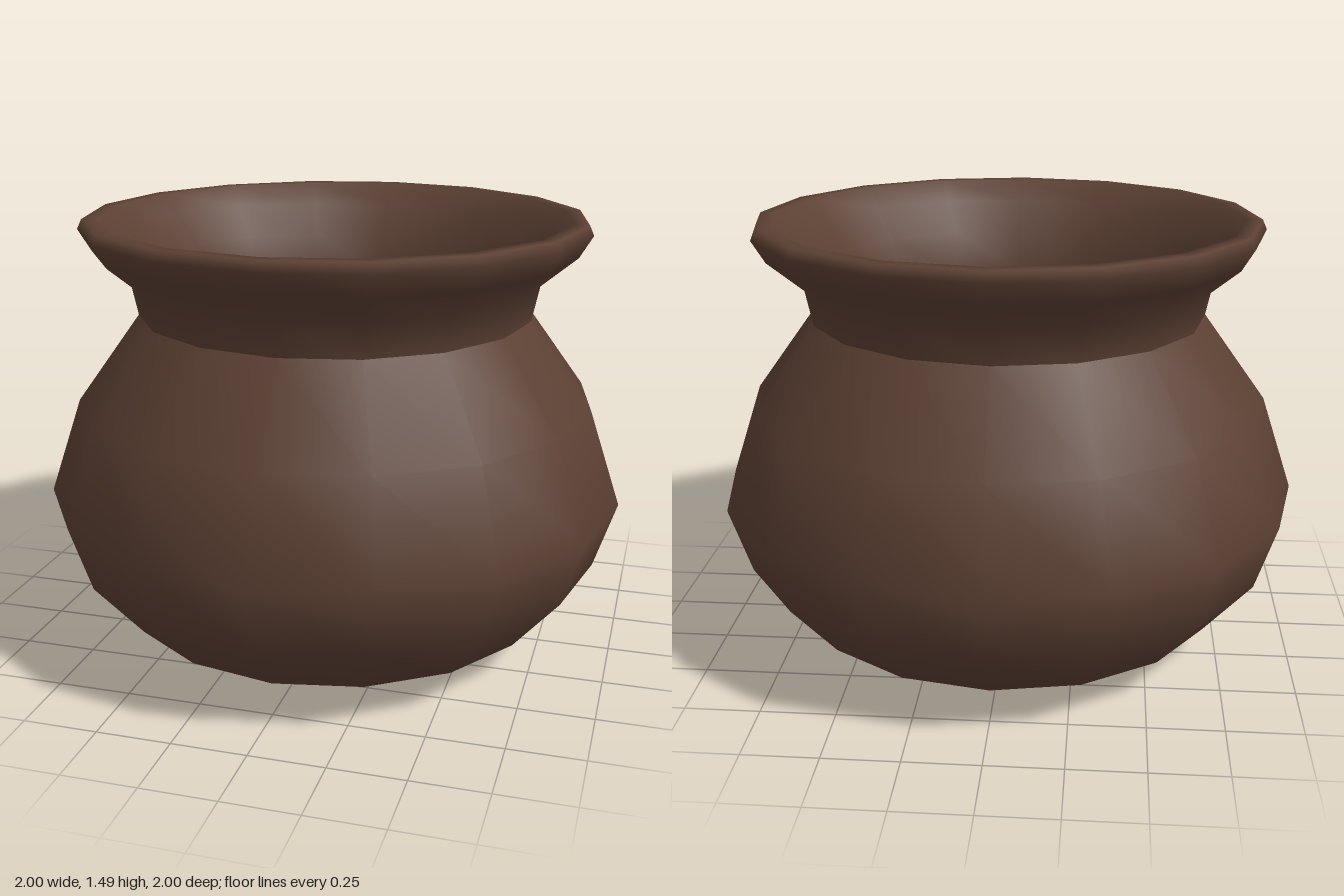
import * as THREE from 'three';

const SIDES = 16;

export function createModel() {
  const group = new THREE.Group();
  group.name = 'pot';
  const clay = new THREE.MeshStandardMaterial({ color: 0x5c4033 });
  clay.name = 'brown clay';

  // Each section is turned separately so that edges between sections stay sharp
  const turn = (name, profile) => {
    const points = profile.map(([r, y]) => new THREE.Vector2(r, y));
    const mesh = new THREE.Mesh(new THREE.LatheGeometry(points, SIDES), clay);
    mesh.name = name;
    group.add(mesh);
  };

  // Flat underside
  turn('base', [[0, 0], [0.42, 0]]);

  // Rounded outer wall
  turn('belly', [
    [0.42, 0], [0.56, 0.03], [0.755, 0.115], [0.925, 0.315],
    [1, 0.545], [0.89, 0.87], [0.675, 1.165],
  ]);

  // Flared neck, over the rolled rim and down the inside
  turn('neckAndRim', [
    [0.675, 1.165], [0.7, 1.285], [0.82, 1.385], [0.865, 1.46], [0.85, 1.493],
    [0.8, 1.493], [0.76, 1.42], [0.665, 1.31], [0.64, 1.165],
  ]);

  // Hollow inside of the belly
  turn('innerWall', [
    [0.64, 1.165], [0.85, 0.86], [0.96, 0.545], [0.885, 0.335],
    [0.73, 0.15], [0.55, 0.07], [0.41, 0.04],
  ]);

  // Flat inside floor
  turn('innerFloor', [[0.41, 0.04], [0, 0.04]]);

  return group;
}
